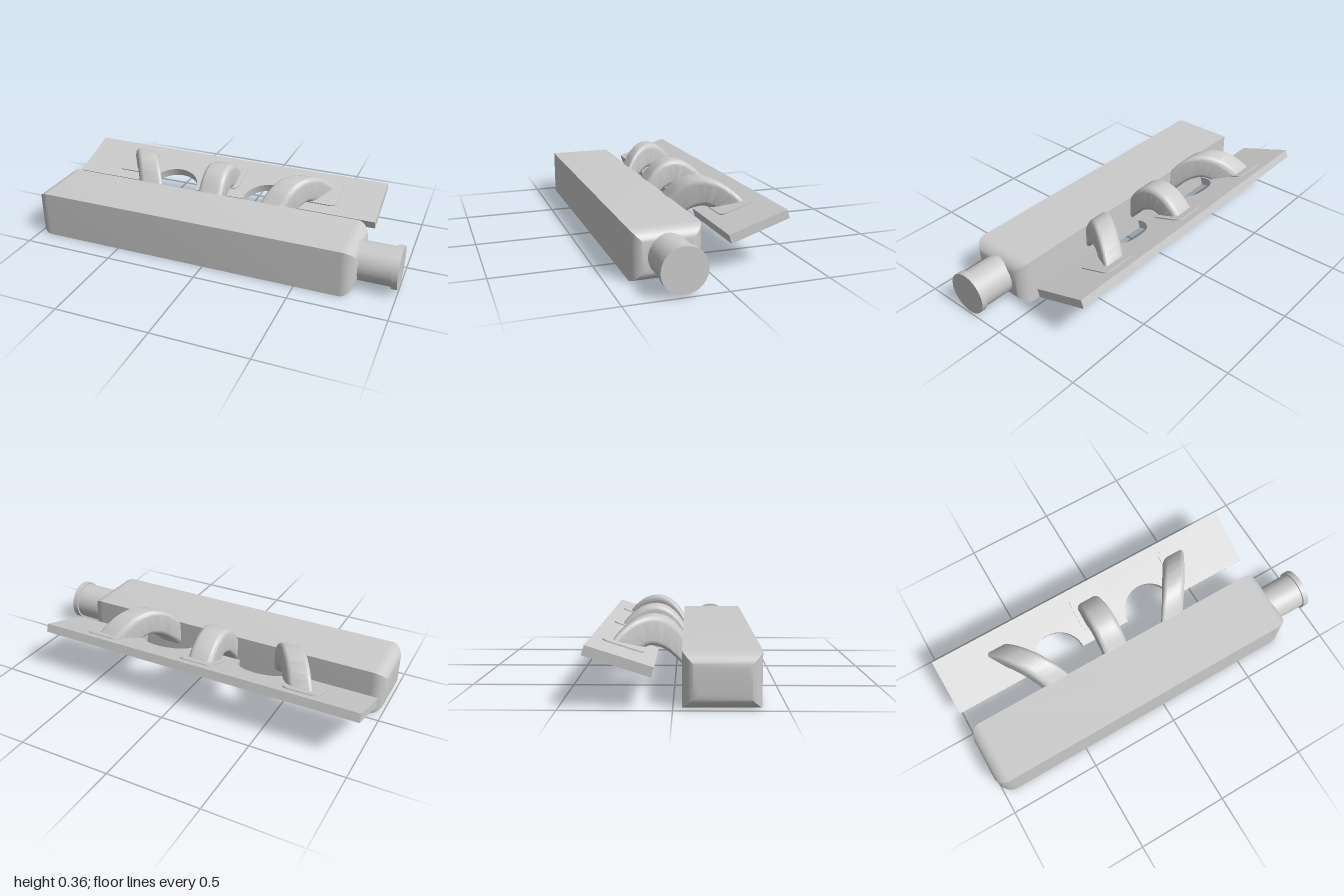
import * as THREE from 'three';
import { toCreasedNormals } from 'three/addons/utils/BufferGeometryUtils.js';

const material = new THREE.MeshStandardMaterial({ color: 0xcccccc });

function part(name, geometry) {
  const mesh = new THREE.Mesh(geometry, material);
  mesh.name = name;
  return mesh;
}

// Closed skin over a list of rings (counter-clockwise around the travel direction)
function loft(rings) {
  const n = rings[0].length, last = (rings.length - 1) * n, index = [];
  for (let i = 0; i < rings.length - 1; i++) {
    for (let j = 0; j < n; j++) {
      const a = i * n + j, b = i * n + (j + 1) % n;
      index.push(a, b, b + n, a, b + n, a + n);
    }
  }
  for (let j = 1; j < n - 1; j++) {
    index.push(0, j + 1, j, last, last + j, last + j + 1);
  }
  const geometry = new THREE.BufferGeometry().setFromPoints(rings.flat());
  geometry.setIndex(index);
  return toCreasedNormals(geometry, 0.5);
}

// Rounded rectangle centred on the origin
function roundedRect(w, h, r) {
  const s = new THREE.Shape(), x = w / 2 - r, y = h / 2 - r;
  s.absarc(x, y, r, 0, Math.PI / 2);
  s.absarc(-x, y, r, Math.PI / 2, Math.PI);
  s.absarc(-x, -y, r, Math.PI, Math.PI * 1.5);
  s.absarc(x, -y, r, Math.PI * 1.5, Math.PI * 2);
  s.closePath();
  return s;
}

// Long chamber: sharp rectangular section, rounded in towards both ends
function chamber() {
  const r = 0.07, steps = 10, rings = [];
  const ring = (x, inset) => {
    const h = 0.125 - inset, d = 0.175 - inset;
    return [[-1, -1], [1, -1], [1, 1], [-1, 1]].map(
      ([y, z]) => new THREE.Vector3(x, 0.125 + y * h, 0.215 + z * d));
  };
  for (let i = 0; i <= steps; i++) {
    const a = i / steps * Math.PI / 2;
    rings.push(ring(-1 + r * (1 - Math.cos(a)), r * (1 - Math.sin(a))));
  }
  for (let i = steps; i >= 0; i--) {
    const a = i / steps * Math.PI / 2;
    rings.push(ring(0.8 - r * (1 - Math.cos(a)), r * (1 - Math.sin(a))));
  }
  return part('chamber', loft(rings));
}

// Arched runner between flange and chamber, leaning sideways with depth
function runner(name, xChamber, xFlange) {
  const curve = pts => new THREE.CatmullRomCurve3(pts.map(([z, y]) => new THREE.Vector3(0, y, z)));
  const outer = curve([[-0.305, 0.225], [-0.28, 0.262], [-0.235, 0.308], [-0.18, 0.344], [-0.11, 0.36],
    [-0.05, 0.346], [0, 0.309], [0.045, 0.25], [0.06, 0.23]]);
  const inner = curve([[-0.165, 0.18], [-0.152, 0.204], [-0.14, 0.211], [-0.125, 0.216], [-0.105, 0.217],
    [-0.05, 0.195], [0, 0.151], [0.04, 0.105], [0.06, 0.08]]);
  const rings = [];
  for (let i = 0; i <= 40; i++) {
    const a = inner.getPoint(i / 40), b = outer.getPoint(i / 40);
    const h = a.distanceTo(b);
    const section = roundedRect(0.14, h, 0.03).getPoints(6);
    // drop coincident joints between arcs and the closing point
    const ring = section.filter((p, k) => k === 0 ||
      (p.distanceTo(section[k - 1]) > 1e-5 && p.distanceTo(section[0]) > 1e-5));
    rings.push(ring.map(p => {
      const v = a.clone().lerp(b, p.y / h + 0.5);
      const lean = THREE.MathUtils.clamp((0.04 - v.z) / 0.32, 0, 1);
      v.x = p.x + THREE.MathUtils.lerp(xChamber, xFlange, lean);
      return v;
    }));
  }
  return part(name, loft(rings));
}

// Tilted flange with two scalloped cut-outs and three port pads
function flange() {
  const group = new THREE.Group(), thick = 0.046, length = 0.312;
  group.name = 'flange';
  const s = new THREE.Shape();
  s.moveTo(-1, 0);
  for (const x of [-0.39, 0.19]) {
    s.lineTo(x - 0.146, 0);
    s.absarc(x, 0, 0.146, Math.PI, 0, true);
  }
  s.lineTo(0.8, 0);
  s.lineTo(0.8, length);
  s.lineTo(-1, length);
  s.closePath();
  const plate = new THREE.ExtrudeGeometry(s, { depth: thick, bevelEnabled: false, curveSegments: 32 });
  group.add(part('flangePlate', toCreasedNormals(plate, 0.5)));
  for (const x of [-0.677, -0.102, 0.473]) {
    const g = new THREE.ExtrudeGeometry(roundedRect(0.195, 0.2, 0.035),
      { depth: thick + 0.012, bevelEnabled: false, curveSegments: 8 });
    const pad = part('portPad', toCreasedNormals(g, 0.5));
    pad.position.set(x, 0.162, -0.006);
    group.add(pad);
  }
  group.position.set(0, 0.145, -0.092);
  group.rotation.x = THREE.MathUtils.degToRad(17.9 - 90);
  return group;
}

// Round inlet along x
function tube(name, radius, x0, x1) {
  const mesh = part(name, new THREE.CylinderGeometry(radius, radius, x1 - x0, 64));
  mesh.rotation.z = -Math.PI / 2;
  mesh.position.set((x0 + x1) / 2, 0.125, 0.215);
  return mesh;
}

export function createModel() {
  const model = new THREE.Group();
  model.name = 'intakeManifold';
  model.add(chamber(), flange());
  model.add(tube('inletNeck', 0.102, 0.7, 0.98), tube('inletLip', 0.112, 0.968, 1));
  model.add(runner('rightRunner', -0.463, -0.665));
  model.add(runner('middleRunner', -0.102, -0.102));
  model.add(runner('leftRunner', 0.259, 0.461));
  return model;
}
